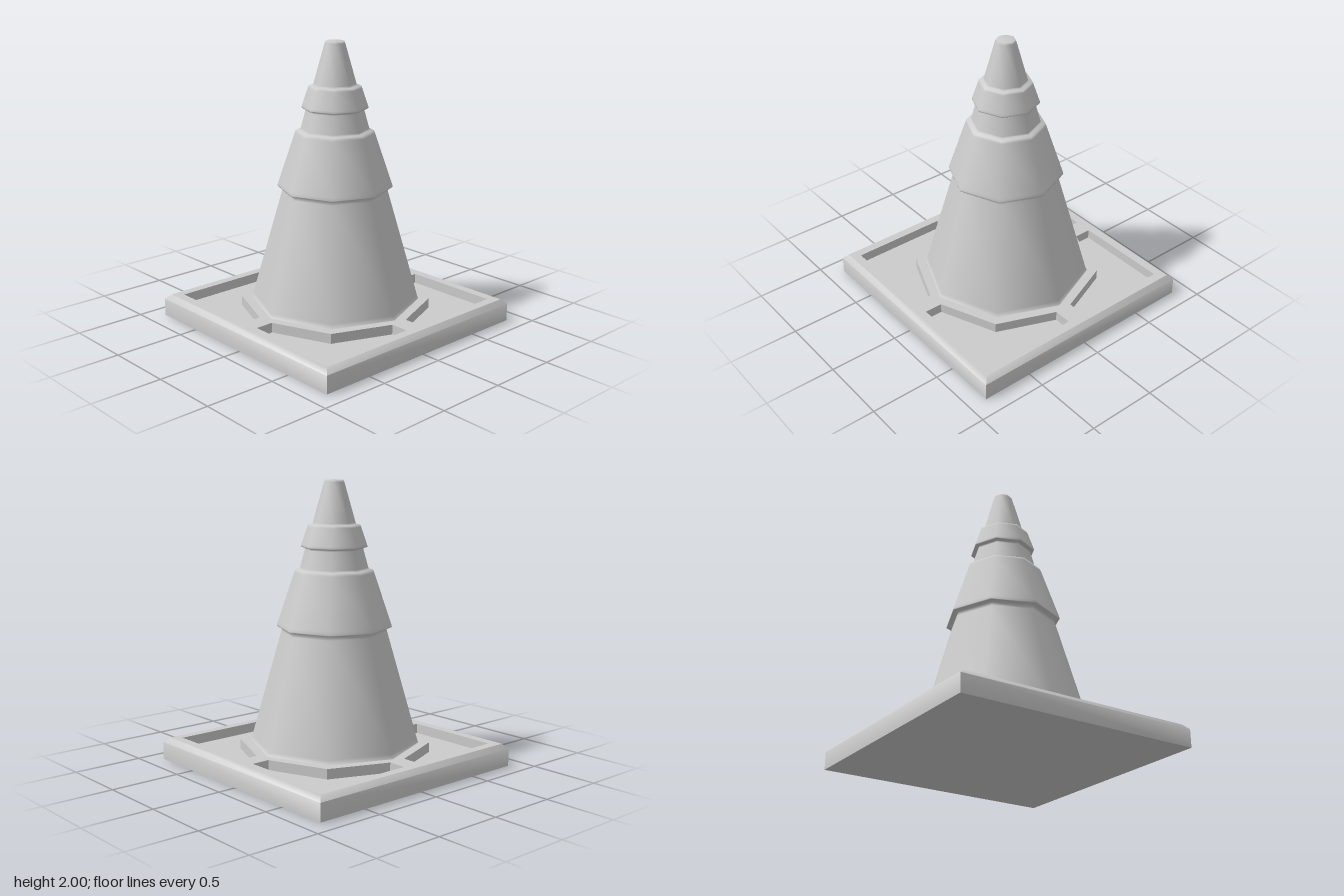
import * as THREE from 'three';
import { toCreasedNormals } from 'three/addons/utils/BufferGeometryUtils.js';

const HALF = 0.87, TOP = 0.16, FLOOR = 0.09, INNER = 0.835;
const material = new THREE.MeshStandardMaterial({ color: 0xcccccc });

function part(name, geometry, parent) {
  const mesh = new THREE.Mesh(geometry, material);
  mesh.name = name;
  parent.add(mesh);
  return mesh;
}

function lathe(points, sides, start = 0) {
  return new THREE.LatheGeometry(points.map(([r, y]) => new THREE.Vector2(r, y)), sides, start);
}

export function createModel() {
  const group = new THREE.Group();
  group.name = 'trafficCone';

  // Square slab with a chamfered upper edge
  const s = Math.SQRT2;
  const slab = lathe([[0, 0], [HALF * s, 0], [HALF * s, 0.125], [INNER * s, TOP]], 4, Math.PI / 4);
  part('baseSlab', toCreasedNormals(slab, Math.PI / 3), group);

  // Top plate: rim, four bars and eight-sided collar left between corner pockets
  const plate = new THREE.Shape([[-1, -1], [1, -1], [1, 1], [-1, 1]]
    .map(([x, y]) => new THREE.Vector2(x * INNER, y * INNER)));
  const pocket = [[0.065, 0.77], [0.77, 0.77], [0.77, 0.065], [0.64, 0.065], [0.475, 0.475], [0.065, 0.64]];
  for (const sx of [-1, 1]) {
    for (const sy of [-1, 1]) {
      plate.holes.push(new THREE.Path(pocket.map(([x, y]) => new THREE.Vector2(x * sx, y * sy))));
    }
  }
  const plateGeometry = new THREE.ExtrudeGeometry(plate, { depth: TOP - FLOOR, bevelEnabled: false });
  plateGeometry.rotateX(-Math.PI / 2);
  part('baseTopPlate', plateGeometry, group).position.y = FLOOR;

  // Sunken floor of the pockets
  const floor = new THREE.PlaneGeometry(1.6, 1.6);
  floor.rotateX(-Math.PI / 2);
  part('pocketFloor', floor, group).position.y = FLOOR;

  // Eight-sided cone with two raised bands, smooth around and stepped in profile
  const cone = lathe([
    [0.61, 0.15], [0.592, 0.165], [0.585, 0.19],
    [0.37, 0.95], [0.362, 0.98],
    [0.4, 0.983], [0.402, 0.99], [0.396, 1.01],
    [0.277, 1.365], [0.27, 1.385],
    [0.24, 1.387], [0.236, 1.4],
    [0.202, 1.525], [0.2, 1.538],
    [0.228, 1.54], [0.23, 1.547], [0.226, 1.56],
    [0.185, 1.68], [0.18, 1.695],
    [0.151, 1.697], [0.147, 1.71],
    [0.07, 1.985], [0.064, 2], [0, 2],
  ], 8);
  part('coneBody', cone, group);

  return group;
}
